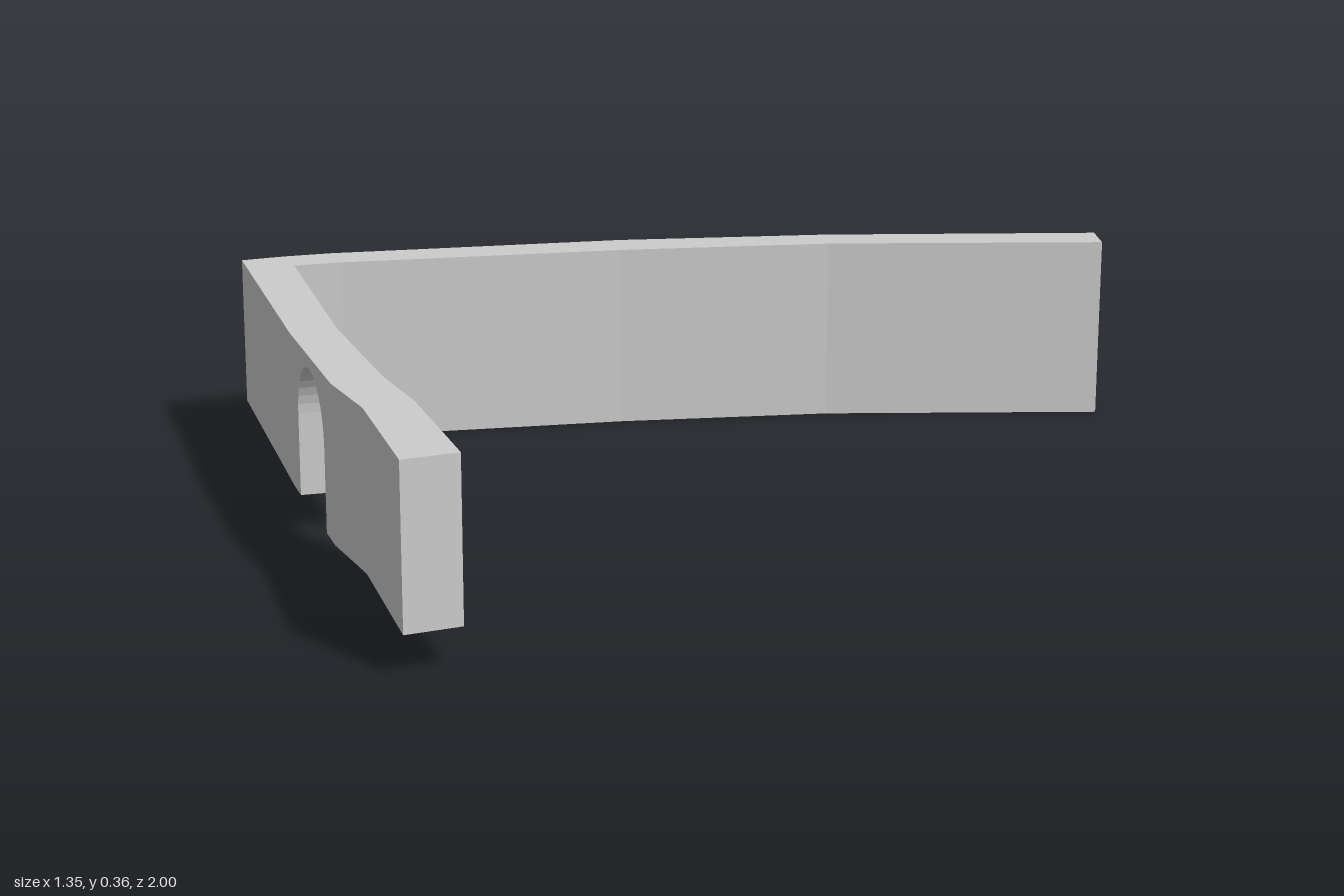
import * as THREE from 'three';

const TOP = 0.357, FRONT_BOTTOM = 0.07;

// One cross-section of a wall: outer and inner plan points, lower and upper height
const station = (ox, oz, ix, iz, low, high = TOP) => [
  [ox, low, oz], [ox, high, oz], [ix, high, iz], [ix, low, iz],
];

// Skins a row of cross-sections, closing the ends on request
function skin(name, stations, { startCap = false, endCap = false }, material) {
  const pos = [];
  const quad = (a, b, c, d) => pos.push(...a, ...b, ...c, ...a, ...c, ...d);
  for (let i = 0; i + 1 < stations.length; i++) {
    const a = stations[i], b = stations[i + 1];
    const upright = a[0][0] === b[0][0] && a[0][2] === b[0][2];
    for (let k = 0; k < 4; k++) {
      if (upright && k < 3) continue; // a jamb or step has only its lower face
      const n = (k + 1) % 4;
      quad(a[k], b[k], b[n], a[n]);
    }
  }
  if (startCap) quad(...stations[0]);
  if (endCap) quad(...[...stations[stations.length - 1]].reverse());
  const geometry = new THREE.BufferGeometry();
  geometry.setAttribute('position', new THREE.Float32BufferAttribute(pos, 3));
  geometry.computeVertexNormals();
  const mesh = new THREE.Mesh(geometry, material);
  mesh.name = name;
  return mesh;
}

export function createModel() {
  const group = new THREE.Group();
  group.name = 'cornerWall';
  const material = new THREE.MeshStandardMaterial({ color: 0xcccccc, flatShading: true });

  // Long wall, reaching lower, up to the step at the corner
  const stepPlan = [-0.66, 0.447, -0.573, 0.447];
  const backPlan = [
    [0.182, -1, 0.253, -0.95],
    [-0.145, -0.55, -0.077, -0.505],
    [-0.362, -0.19, -0.288, -0.14],
    [-0.62, 0.335, -0.54, 0.36],
    [-0.65, 0.415, -0.562, 0.418],
    stepPlan,
  ];
  const back = backPlan.map((p) => station(...p, 0));
  back.push(station(...stepPlan, FRONT_BOTTOM));
  group.add(skin('backWall', back, { startCap: true }, material));

  // Arched doorway, set in the bay between two bends of the front wall
  const bayStart = [-0.13, 0.725, -0.108, 0.64], bayEnd = [0.2, 0.845, 0.22, 0.752];
  const centre = 0.481, halfWidth = 0.321, skew = 0.035, spring = 0.223, rise = 0.111;
  const inBay = (u, low) => {
    const at = (i, t) => THREE.MathUtils.lerp(bayStart[i], bayEnd[i], t);
    return station(at(0, u), at(1, u), at(2, u + skew), at(3, u + skew), low);
  };
  const arch = [], steps = 20;
  for (let i = 0; i <= steps; i++) {
    const angle = Math.PI * (1 - i / steps);
    arch.push(inBay(centre + halfWidth * Math.cos(angle), spring + rise * Math.sin(angle)));
  }

  // Front wall, from the corner through the doorway to the free end
  const front = [
    station(...stepPlan, FRONT_BOTTOM),
    station(-0.675, 0.505, -0.573, 0.447, FRONT_BOTTOM),
    station(...bayStart, FRONT_BOTTOM),
    inBay(centre - halfWidth, FRONT_BOTTOM),
    ...arch,
    inBay(centre + halfWidth, FRONT_BOTTOM),
    station(...bayEnd, FRONT_BOTTOM),
    station(0.358, 0.882, 0.38, 0.793, FRONT_BOTTOM),
    station(0.648, 1, 0.673, 0.902, FRONT_BOTTOM + 0.004, TOP + 0.004),
  ];
  group.add(skin('frontWall', front, { endCap: true }, material));

  return group;
}
